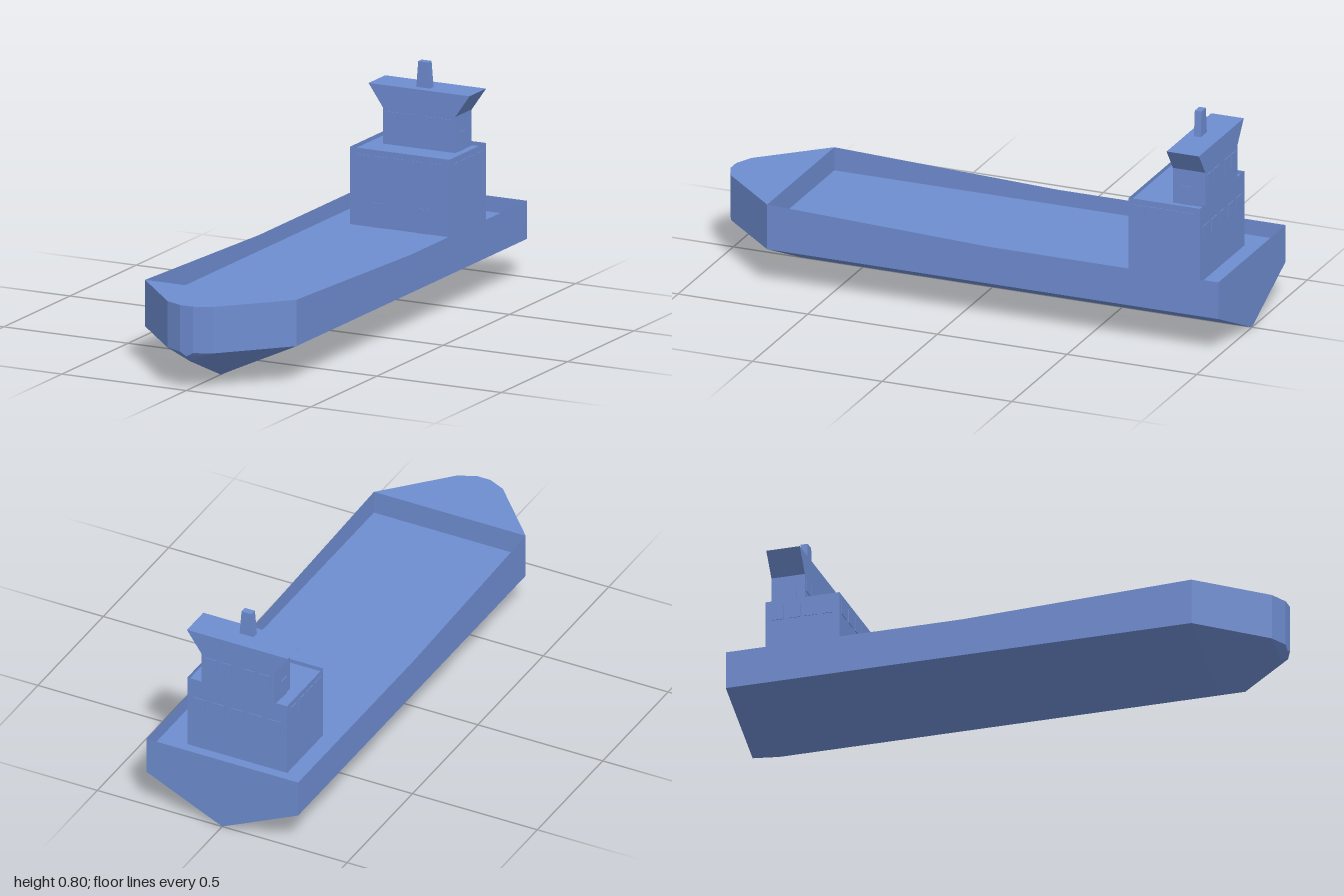
import * as THREE from 'three';

const paint = new THREE.MeshStandardMaterial({ color: 0x6e8cd0, flatShading: true, side: THREE.DoubleSide });

const DECK = 0.222, ROOF = 0.49;
const HOUSE = { x: 0.2, y: 0.505, back: -0.885, front: -0.61 };
const BRIDGE = { x: 0.145, back: -0.882, front: -0.757 };

// Collects flat polygons (fans of points) into one geometry
function polygons(faces) {
  const pos = [];
  for (const f of faces)
    for (let i = 1; i < f.length - 1; i++) pos.push(...f[0], ...f[i], ...f[i + 1]);
  const g = new THREE.BufferGeometry();
  g.setAttribute('position', new THREE.Float32BufferAttribute(pos, 3));
  g.computeVertexNormals();
  return g;
}

function add(parent, name, geometry) {
  const m = new THREE.Mesh(geometry, paint);
  m.name = name;
  parent.add(m);
  return m;
}

// Horizontal panel, facing up
const level = (z0, w0, z1, w1, y) => [[-w0, y, z0], [-w1, y, z1], [w1, y, z1], [w0, y, z0]];

// Thin raised panel on a wall facing z or x
function panel(parent, name, axis, wall, along, y0, y1, width) {
  const t = 0.005, h = y1 - y0, y = (y0 + y1) / 2;
  const m = axis === 'z'
    ? add(parent, name, new THREE.BoxGeometry(width, h, t))
    : add(parent, name, new THREE.BoxGeometry(t, h, width));
  if (axis === 'z') m.position.set(along, y, wall);
  else m.position.set(wall, y, along);
}

// Outline in the xy plane extruded between two z positions
function slab(points, back, front) {
  const shape = new THREE.Shape(points.map(([x, y]) => new THREE.Vector2(x, y)));
  return new THREE.ExtrudeGeometry(shape, { depth: front - back, bevelEnabled: false }).translate(0, 0, back);
}

function createHull() {
  const hull = new THREE.Group();
  hull.name = 'hull';
  // Stations from stern to stem: z, half width, rail height, keel height
  const stations = [
    [-1, 0.304, 0.28, 0],
    [-0.12, 0.304, 0.28, 0],
    [0.74, 0.304, 0.31, 0],
    [0.97, 0.092, 0.31, 0.1],
    [1, 0.026, 0.31, 0.125],
  ];
  const chine = 0.14;
  const rings = stations.map(([z, w, top, keel]) =>
    [[w, top, z], [w, chine, z], [0, keel, z], [-w, chine, z], [-w, top, z]]);
  const shell = [rings[0], [...rings[4]].reverse()];
  for (let s = 0; s < 4; s++)
    for (let i = 0; i < 4; i++)
      shell.push([rings[s][i], rings[s + 1][i], rings[s + 1][i + 1], rings[s][i + 1]]);
  add(hull, 'hullShell', polygons(shell));

  // Sunken main deck, bulkhead and raised foredeck
  add(hull, 'mainDeck', polygons([level(-1, 0.304, 0.74, 0.304, DECK)]));
  add(hull, 'foredeckBulkhead', polygons([
    [[0.304, 0.31, 0.74], [0.304, DECK, 0.74], [-0.304, DECK, 0.74], [-0.304, 0.31, 0.74]],
  ]));
  add(hull, 'foredeck', polygons([
    level(0.74, 0.304, 0.97, 0.092, 0.31),
    level(0.97, 0.092, 1, 0.026, 0.31),
  ]));
  return hull;
}

function createDeckhouse() {
  const house = new THREE.Group();
  house.name = 'deckhouse';
  const { x, y, back, front } = HOUSE;

  // Four thin walls rising just past the roof
  const corners = [[-x, front], [x, front], [x, back], [-x, back]];
  add(house, 'houseWalls', polygons(corners.map(([ax, az], i) => {
    const [bx, bz] = corners[(i + 1) % 4];
    return [[ax, DECK, az], [bx, DECK, bz], [bx, y, bz], [ax, y, az]];
  })));
  add(house, 'houseRoof', polygons([level(back, x, front, x, ROOF)]));

  // Doors and window rows
  for (const side of [-1, 1]) {
    panel(house, 'houseDoor', 'z', front, side * 0.092, DECK, 0.312, 0.046);
    for (let i = 0; i < 4; i++)
      panel(house, 'sideWindow', 'x', side * x, -0.84 + i * 0.062, 0.43, 0.483, 0.045);
  }
  for (let i = -2; i <= 2; i++) {
    panel(house, 'frontWindow', 'z', front, i * 0.075, 0.43, 0.483, 0.05);
    panel(house, 'rearWindow', 'z', back, i * 0.075, 0.38, 0.43, 0.05);
  }
  return house;
}

function createBridge() {
  const bridge = new THREE.Group();
  bridge.name = 'bridge';
  const { x, back, front } = BRIDGE;

  // Wheelhouse with wings flaring out to the sides
  add(bridge, 'wheelhouse', slab([
    [-x, ROOF], [x, ROOF], [x, 0.622], [0.203, 0.705], [-0.203, 0.705], [-x, 0.622],
  ], back, front));

  for (const side of [-1, 1]) {
    panel(bridge, 'bridgeDoor', 'x', side * x, -0.807, ROOF, 0.56, 0.04);
    for (const wx of [0.048, 0.108]) {
      panel(bridge, 'bridgeRearWindow', 'z', back, side * wx, 0.56, 0.61, 0.047);
      panel(bridge, 'bridgeFrontWindow', 'z', front, side * wx, 0.56, 0.61, 0.047);
    }
  }

  // Tapered funnel on the roof
  add(bridge, 'funnel', slab([
    [-0.028, 0.705], [0.028, 0.705], [0.02, 0.8], [-0.02, 0.8],
  ], -0.814, -0.788));
  return bridge;
}

export function createModel() {
  const ship = new THREE.Group();
  ship.name = 'ship';
  ship.add(createHull(), createDeckhouse(), createBridge());
  return ship;
}
